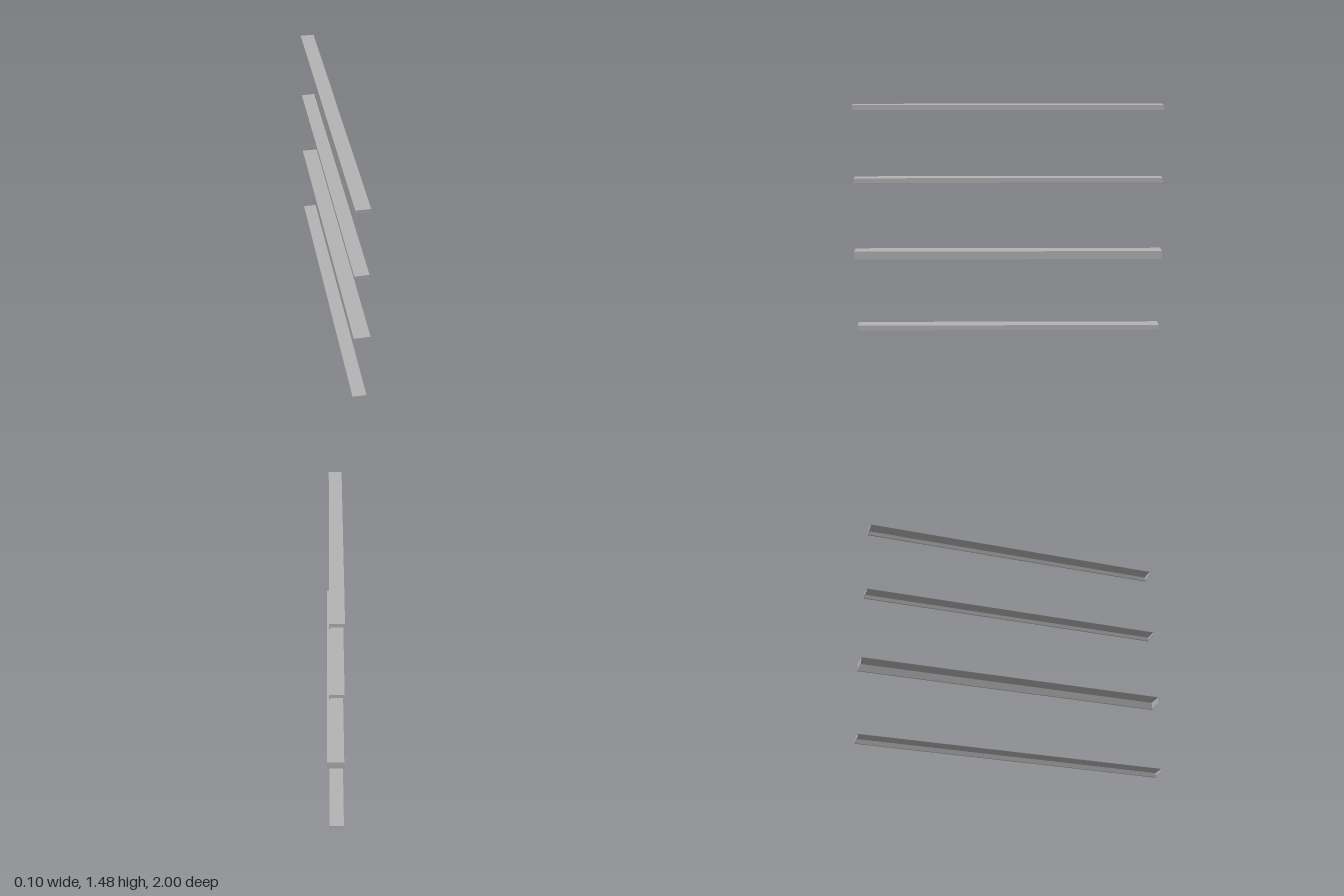
import * as THREE from 'three';

const SHEET = 0.002; // sheet thickness
const LIP = 0.009;   // thickness of the folded front edge
const BACK = -0.051; // shared open rear edge

// Each folded cover: top height, end-cap bottom, lip bottom, outer x, half length
const COVERS = [
  { name: 'lowerCover', top: 0.033, cap: 0.011, lip: 0, right: 0.037, half: 0.992 },
  { name: 'deepCover', top: 0.534, cap: 0.489, lip: 0.481, right: 0.051, half: 1 },
  { name: 'middleCover', top: 1.012, cap: 0.99, lip: 0.982, right: 0.037, half: 0.992 },
  { name: 'upperCover', top: 1.482, cap: 1.46, lip: 1.45, right: 0.037, half: 0.992 },
];

export function createModel() {
  const model = new THREE.Group();
  model.name = 'foldedCovers';
  const grey = new THREE.MeshStandardMaterial({ color: 0xb2b2b2 });
  grey.name = 'grey metal';

  // Box given by its minimum and maximum corners
  const plate = (group, name, x0, x1, y0, y1, z0, z1) => {
    const mesh = new THREE.Mesh(new THREE.BoxGeometry(x1 - x0, y1 - y0, z1 - z0), grey);
    mesh.position.set((x0 + x1) / 2, (y0 + y1) / 2, (z0 + z1) / 2);
    mesh.name = name;
    group.add(mesh);
  };

  for (const c of COVERS) {
    const group = new THREE.Group();
    group.name = c.name;
    const under = c.top - SHEET;

    // Top sheet
    plate(group, 'topSheet', BACK, c.right, under, c.top, -c.half, c.half);
    // Long side wall, with its hem folded inward along the bottom
    plate(group, 'sideWall', c.right - SHEET, c.right, c.lip, under, -c.half, c.half);
    plate(group, 'hem', c.right - LIP, c.right - SHEET, c.lip, c.cap, -c.half, c.half);
    // End caps; the remaining long side and the bottom stay open
    plate(group, 'frontCap', BACK, c.right - SHEET, c.cap, under, c.half - SHEET, c.half);
    plate(group, 'backCap', BACK, c.right - SHEET, c.cap, under, -c.half, -c.half + SHEET);
    model.add(group);
  }
  return model;
}
